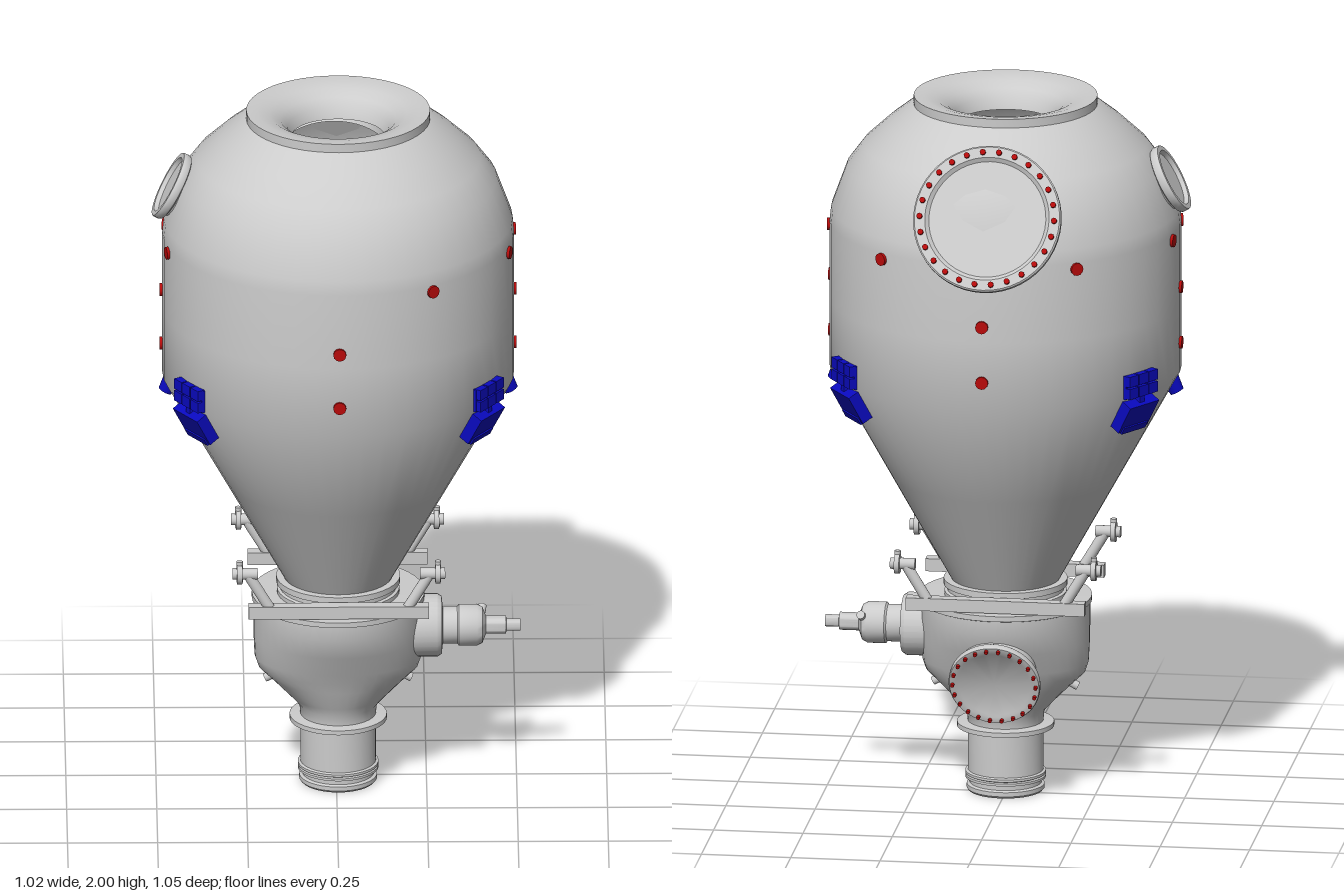
import * as THREE from 'three';
import { toCreasedNormals } from 'three/addons/utils/BufferGeometryUtils.js';

const grey = new THREE.MeshStandardMaterial({ color: 0xcccccc });
const shell = new THREE.MeshStandardMaterial({ color: 0xcccccc, side: THREE.DoubleSide });
const red = new THREE.MeshStandardMaterial({ color: 0xb80a0a });
const blue = new THREE.MeshStandardMaterial({ color: 0x0a0ac0 });
const UP = new THREE.Vector3(0, 1, 0);
const R = 0.488; // vessel radius

function add(parent, name, geometry, material = grey, x = 0, y = 0, z = 0) {
  const m = new THREE.Mesh(geometry, material);
  m.name = name;
  m.position.set(x, y, z);
  parent.add(m);
  return m;
}

// profile runs upward on the outside
function lathe(points, segments = 40) {
  const g = new THREE.LatheGeometry(points.map(p => new THREE.Vector2(...p)), segments);
  return toCreasedNormals(g, 0.6);
}

function aim(object, x, y, z) {
  object.quaternion.setFromUnitVectors(UP, new THREE.Vector3(x, y, z).normalize());
  return object;
}

function rod(parent, name, a, b, r) {
  const p = new THREE.Vector3(...a), d = new THREE.Vector3(...b).sub(p);
  const m = add(parent, name, new THREE.CylinderGeometry(r, r, d.length(), 16));
  m.position.copy(p).addScaledVector(d, 0.5);
  return aim(m, d.x, d.y, d.z);
}

// round flanged cover, outer face at the given point
function hatch(parent, name, pos, normal, r, neck, bolts, dish) {
  const g = new THREE.Group();
  g.name = name;
  g.position.set(...pos);
  aim(g, ...normal);
  add(g, 'hatchCover', lathe([
    [neck, -r * 0.62], [neck, -0.03], [r * 0.97, -0.024], [r, -0.018], [r, -0.004],
    [r * 0.98, 0], [r * 0.84, 0], [r * 0.79, -dish], [0, -dish]], 48), shell);
  for (let i = 0; i < bolts; i++) {
    const a = i / bolts * Math.PI * 2;
    add(g, 'hatchBolt', new THREE.CylinderGeometry(r * 0.035 + 0.001, r * 0.035 + 0.001, 0.012, 8),
      red, Math.cos(a) * r * 0.91, 0.003, Math.sin(a) * r * 0.91);
  }
  parent.add(g);
}

// mounting lug, local +z points away from the vessel
function lug(parent, angle) {
  const g = new THREE.Group();
  g.name = 'mountingLug';
  g.rotation.y = angle;
  for (let i = -1; i <= 1; i++)
    for (const y of [1.275, 1.24])
      add(g, 'lugPlate', new THREE.BoxGeometry(0.037, 0.03, 0.035), blue, i * 0.041, y, R + 0.001);
  add(g, 'lugBacking', new THREE.BoxGeometry(0.12, 0.065, 0.014), blue, 0, 1.255, R - 0.003);
  const foot = add(g, 'lugFoot', new THREE.BoxGeometry(0.122, 0.09, 0.045), blue, 0, 1.172, R - 0.02);
  foot.rotation.x = 0.51;
  const lip = add(g, 'lugLip', new THREE.BoxGeometry(0.1, 0.022, 0.05), blue, 0, 1.138, R - 0.037);
  lip.rotation.x = 0.51;
  add(g, 'lugRib', new THREE.BoxGeometry(0.02, 0.06, 0.03), blue, 0, 1.215, R - 0.003);
  parent.add(g);
}

function addVessel(g) {
  add(g, 'vesselShell', lathe([
    [0.145, 0.6], [0.3165, 0.91], [R, 1.22], [R, 1.42], [R, 1.64], [0.484, 1.68],
    [0.44, 1.8], [0.395, 1.86], [0.33, 1.92], [0.27, 1.967], [0.255, 1.975]], 48), shell);
  // rolled inlet that curves down to the opening
  add(g, 'inletRim', lathe([
    [0.255, 1.974], [0.255, 2], [0.225, 1.998], [0.19, 1.99],
    [0.16, 1.973], [0.14, 1.95], [0.13, 1.92]], 48), shell);
  const floor = add(g, 'vesselFloor', new THREE.CircleGeometry(0.15, 40), blue, 0, 0.625, 0);
  floor.rotation.x = -Math.PI / 2;

  hatch(g, 'largeHatch', [-0.01, 1.77, -0.457], [0, 0.457, -0.89], 0.207, 0.165, 26, 0.01);
  hatch(g, 'smallHatch', [-0.472, 1.78, 0], [-0.88, 0.47, 0], 0.098, 0.08, 0, 0.012);

  // sensor buttons: upper ring, then two on each of four sides
  const button = (a, y) => aim(add(g, 'sensorButton', new THREE.CylinderGeometry(0.018, 0.018, 0.014, 12),
    red, Math.sin(a) * R, y, Math.cos(a) * R), Math.sin(a), 0, Math.cos(a));
  for (const deg of [32, 75, 96, 143, 211.5, 259, 284.5]) button(deg * Math.PI / 180, 1.623);
  for (let i = 0; i < 4; i++) for (const y of [1.465, 1.305]) button(i * Math.PI / 2, y);

  for (const s of [-1, 1]) {
    for (const a of [57, 123]) lug(g, s * a * Math.PI / 180);
    // small blue stub on each side
    const stub = add(g, 'sideStub', new THREE.CylinderGeometry(0.027, 0.02, 0.05, 16), blue, s * 0.468, 1.185, 0);
    stub.rotation.z = s * 0.5;
  }
}

function addHopper(g) {
  // round at the top, pinched front and back, round again at the outlet
  const rings = [[0.2, 0.105, 0.105], [0.23, 0.108, 0.108], [0.255, 0.13, 0.122], [0.31, 0.185, 0.142],
    [0.345, 0.222, 0.158], [0.375, 0.232, 0.172], [0.44, 0.235, 0.205], [0.505, 0.235, 0.235], [0.555, 0.235, 0.235]];
  const body = new THREE.LatheGeometry(rings.map(r => new THREE.Vector2(r[1], r[0])), 40);
  const p = body.attributes.position;
  for (let i = 0; i < p.count; i++) {
    const r = rings[i % rings.length];
    p.setZ(i, p.getZ(i) * r[2] / r[1]);
  }
  add(g, 'hopperBody', toCreasedNormals(body, 0.7), shell);
  add(g, 'hopperLid', lathe([[0.235, 0.545], [0.24, 0.547], [0.24, 0.562], [0.17, 0.563], [0.17, 0.575],
    [0.162, 0.578], [0.162, 0.59], [0.172, 0.593], [0.172, 0.61], [0.14, 0.611]]), shell);

  // outlet pipe with flange, ribs and rounded mouth
  add(g, 'outletPipe', lathe([
    [0, 0.09], [0.06, 0.09], [0.062, 0.04], [0.07, 0.012], [0.085, 0], [0.103, 0], [0.108, 0.006],
    [0.108, 0.018], [0.1, 0.022], [0.1, 0.034], [0.112, 0.037], [0.112, 0.044], [0.105, 0.046],
    [0.112, 0.049], [0.112, 0.056], [0.105, 0.059], [0.105, 0.182], [0.135, 0.184], [0.135, 0.197], [0.105, 0.2]]), shell);

  hatch(g, 'hopperHatch', [0, 0.362, -0.237], [0, -0.33, -0.945], 0.128, 0.108, 22, 0.004);

  // side drive on the left
  const drive = new THREE.Group();
  drive.name = 'sideDrive';
  drive.position.set(0, 0.463, 0.01);
  drive.rotation.z = -Math.PI / 2;
  add(drive, 'driveHousing', lathe([
    [0.088, 0.15], [0.088, 0.275], [0.08, 0.287], [0.052, 0.29], [0.052, 0.33], [0.058, 0.335], [0.058, 0.385],
    [0.05, 0.4], [0.025, 0.41], [0.025, 0.465], [0.017, 0.467], [0.017, 0.505], [0, 0.505]], 32));
  rod(drive, 'driveLever', [0, 0.39, 0], [-0.035, 0.4, -0.055], 0.012);
  g.add(drive);

  for (const s of [-1, 1])
    rod(g, 'hopperStud', [s * 0.16, 0.325, 0], [s * 0.203, 0.303, 0], 0.012);
}

function addSupports(g) {
  for (const z of [-0.202, 0.202]) {
    add(g, 'supportBar', new THREE.BoxGeometry(0.5, 0.036, 0.034), grey, 0, 0.583, z);
    for (const s of [-1, 1]) {
      rod(g, 'supportPost', [s * 0.19, 0.59, z], [s * 0.25, 0.69, z], 0.015);
      rod(g, 'postClamp', [s * 0.225, 0.695, z], [s * 0.295, 0.695, z], 0.016);
      rod(g, 'clampCollar', [s * 0.268, 0.695, z], [s * 0.282, 0.695, z], 0.029);
      rod(g, 'clampPin', [s * 0.275, 0.67, z], [s * 0.275, 0.732, z], 0.009);
    }
  }
}

export function createModel() {
  const model = new THREE.Group();
  model.name = 'hopperVessel';
  const body = new THREE.Group();
  body.name = 'vesselAssembly';
  body.position.set(0.005, 0, 0.03);
  addVessel(body);
  addHopper(body);
  addSupports(body);
  model.add(body);
  return model;
}
